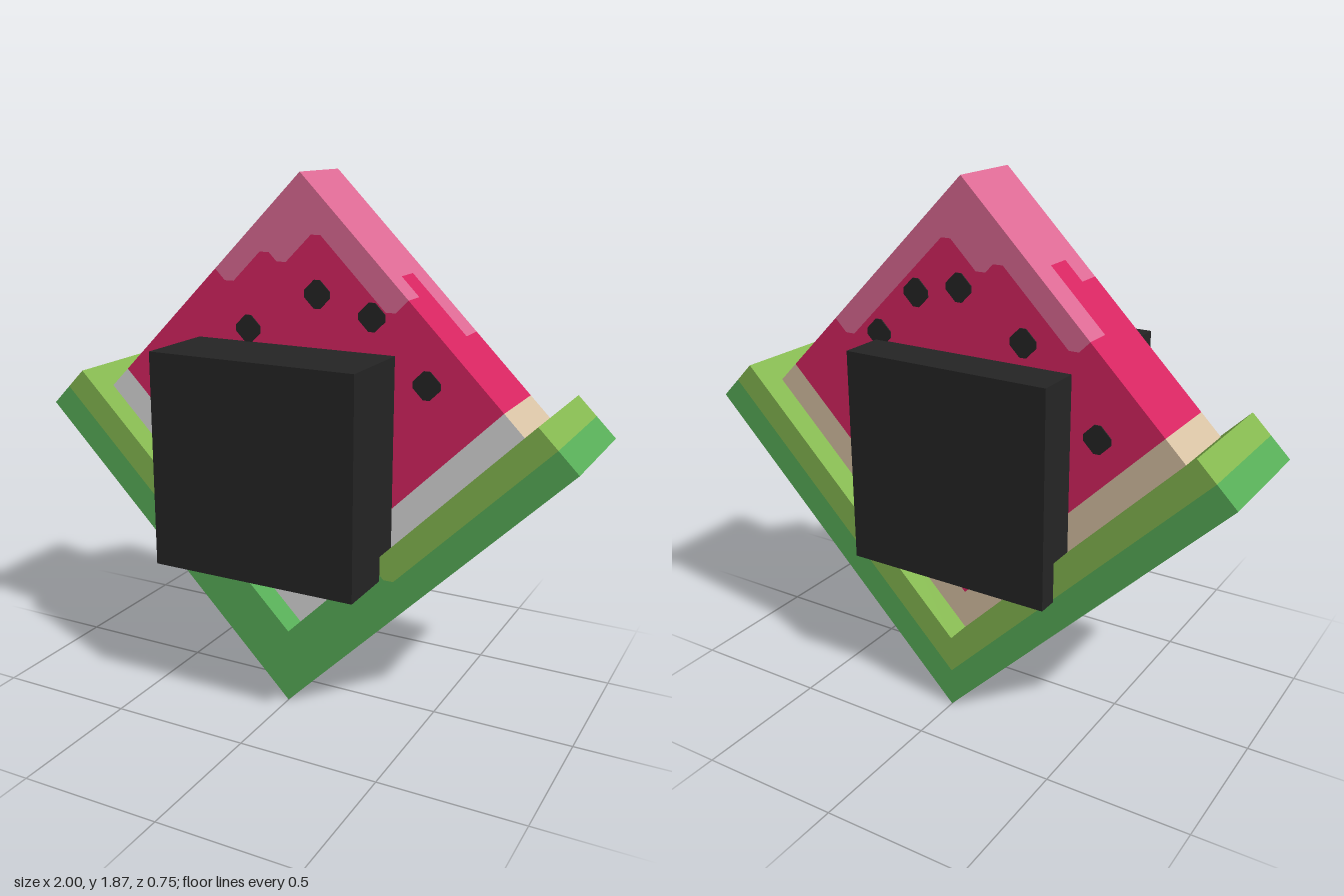
import * as THREE from 'three';

const mat = (name, color) => Object.assign(new THREE.MeshStandardMaterial({ color }), { name });

export function createModel() {
  const red = mat('flesh red', 0xd72561);
  const pink = mat('flesh pink', 0xdd6a94);
  const green = mat('rind green', 0x57ad57);
  const light = mat('rind light green', 0x85b850);
  const cream = mat('pith cream', 0xd8c2a4);
  const white = mat('pith white', 0xdadada);
  const black = mat('black', 0x252525);

  const model = new THREE.Group();
  model.name = 'melonSlice';
  // The slice is modelled square, its corner at the origin, then tipped by 45 degrees
  const slice = new THREE.Group();
  slice.name = 'slice';
  slice.rotation.z = Math.PI / 4;
  model.add(slice);

  const slab = (name, points, z0, z1, material) => {
    const shape = new THREE.Shape(points.map(([x, y]) => new THREE.Vector2(x, y)));
    const geo = new THREE.ExtrudeGeometry(shape, { depth: z1 - z0, bevelEnabled: false });
    geo.translate(0, 0, z0);
    const mesh = new THREE.Mesh(geo, material);
    mesh.name = name;
    slice.add(mesh);
    return mesh;
  };
  // Cut the corners of an open stepped line
  const soften = (pts, r = 0.025) => pts.flatMap((p, i) => {
    if (i === 0 || i === pts.length - 1) return [p];
    return [pts[i - 1], pts[i + 1]].map((q) => {
      const d = Math.hypot(q[0] - p[0], q[1] - p[1]);
      const t = Math.min(r, d * 0.45) / d;
      return [p[0] + (q[0] - p[0]) * t, p[1] + (q[1] - p[1]) * t];
    });
  });
  // L-shaped outline between two offsets from the corner
  const ell = (a, b, end) => [[a, a], [end, a], [end, b], [b, b], [b, end], [a, end]];

  // Rind: two-tone behind, with shorter light bars in the front layer
  const T = 0.191, M = 0.098, L = 1.414;
  const zBack = -0.306, zLedge = 0.069, zFront = 0.163;
  slab('rindOuter', ell(0, M, L), zBack, zLedge, green);
  slab('rindInner', ell(M, T, L), zBack, zLedge, light);
  const rightEnd = soften([[L, M], [0.64, M], [0.64, T], [0.7, T]]).slice(0, -2);
  const leftEnd = soften([[M, L], [M, 0.57], [T, 0.57], [T, 0.63]]).slice(0, -2);
  const rightTip = [0.64, T], leftTip = [T, 0.57];
  slab('rindFront', [[0, 0], [L, 0], ...rightEnd, rightTip, [T, T], leftTip, ...leftEnd.slice().reverse(), [0, L]],
    zLedge, zFront, green);
  slab('rindFrontBarRight', [...rightEnd, rightTip, [L, T]], zLedge, zFront, light);
  slab('rindFrontBarLeft', [...leftEnd, leftTip, [T, L]], zLedge, zFront, light);

  // Light stripes on both outer faces of the rind
  for (const side of [0, 1]) {
    for (const [from, to, z] of [[0.66, 1.315, 0.028], [0.19, 1.23, -0.165]]) {
      const r = 0.05;
      const shape = new THREE.Shape();
      shape.absarc(to - r, z, r, -Math.PI / 2, Math.PI / 2);
      shape.absarc(from + r, z, r, Math.PI / 2, Math.PI * 1.5);
      const geo = new THREE.ExtrudeGeometry(shape, { depth: 0.008, bevelEnabled: false, curveSegments: 6 });
      geo.translate(0, 0, -0.004).rotateX(Math.PI / 2).rotateZ(side * Math.PI / 2);
      const stripe = new THREE.Mesh(geo, light);
      stripe.name = 'rindStripe';
      slice.add(stripe);
    }
  }

  // Flesh: three layers in depth, each with its own stepped edge between red and pink
  const F = 1.319, P = 0.291;
  const layers = [
    { z0: -0.214, z1: -0.115, left: 0.66, right: 0.573 },
    { z0: -0.115, z1: -0.02, left: 0.937, right: 0.852 },
    { z0: -0.02, z1: 0.069, left: 0.848, right: 0.762 },
  ];
  layers.forEach(({ z0, z1, left, right }, i) => {
    const edge = soften([[F, right], [1.231, right], [1.231, 1.148], [1.047, 1.148],
      [1.047, 1.24], [left, 1.24], [left, F]]);
    slab('pith', ell(T, P, F), z0, z1, i === 2 ? [white, cream] : cream);
    slab('fleshRed', [[P, P], [F, P], ...edge, [P, F]], z0, z1, red);
    slab('fleshPink', [...edge.slice().reverse(), [F, F]].reverse(), z0, z1, pink);
  });

  // Seeds on the front and back
  const seeds = (list, z) => list.forEach(([u, v]) => {
    const h = 0.042, c = 0.026;
    slab('seed', [[h, -c], [h, c], [c, h], [-c, h], [-h, c], [-h, -c], [-c, -h], [c, -h]]
      .map(([x, y]) => [u + x, v + y]), z - 0.004, z + 0.004, black);
  });
  seeds([[0.424, 1.089], [0.8, 1.085], [1.085, 0.993], [1.184, 0.807], [1.177, 0.52]], 0.069);
  seeds([[0.417, 1.125], [0.8, 1.125], [1.075, 1.06], [1.168, 0.915], [1.167, 0.69]], -0.214);

  // Upright cube through the middle
  const cube = new THREE.Mesh(new THREE.BoxGeometry(0.755, 0.755, 0.755), black);
  cube.name = 'centreCube';
  cube.position.set(-0.027, 0.91, 0);
  model.add(cube);

  return model;
}
